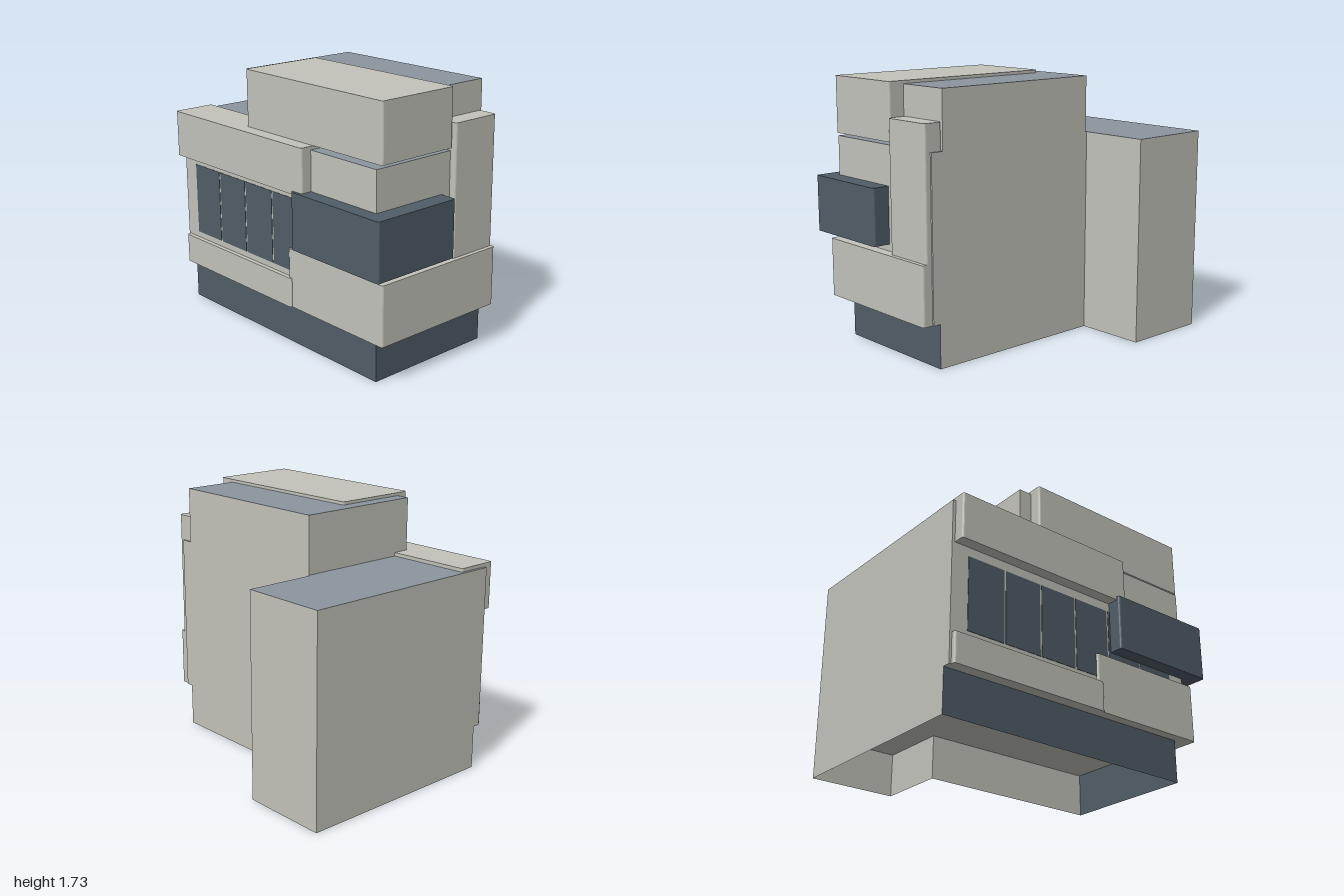
import * as THREE from 'three';

export function createModel() {
  const model = new THREE.Group();
  model.name = 'house';

  const material = (name, color, side = THREE.FrontSide) => {
    const m = new THREE.MeshStandardMaterial({ color, side });
    m.name = name;
    return m;
  };
  const concrete = material('paleConcrete', 0xc3c3bb, THREE.DoubleSide);
  const dark = material('darkSlate', 0x505d67, THREE.DoubleSide);
  const roof = material('roofGrey', 0x8c969f);

  const add = (name, geometry, mat) => {
    const mesh = new THREE.Mesh(geometry, mat);
    mesh.name = name;
    model.add(mesh);
    return mesh;
  };

  // Sharp block given by its limits on each axis; the top may differ in colour
  const block = (name, [x0, x1], [y0, y1], [z0, z1], mat, top = mat) => {
    const g = new THREE.BoxGeometry(x1 - x0, y1 - y0, z1 - z0);
    g.translate((x0 + x1) / 2, (y0 + y1) / 2, (z0 + z1) / 2);
    return add(name, g, [mat, mat, top, mat, mat, mat]);
  };

  // Block with softened vertical corners
  const softBlock = (name, [x0, x1], [y0, y1], [z0, z1], mat, r = 0.015) => {
    const s = new THREE.Shape();
    const a = -z1, b = -z0;
    s.moveTo(x0 + r, a);
    s.lineTo(x1 - r, a);
    s.absarc(x1 - r, a + r, r, -Math.PI / 2, 0);
    s.lineTo(x1, b - r);
    s.absarc(x1 - r, b - r, r, 0, Math.PI / 2);
    s.lineTo(x0 + r, b);
    s.absarc(x0 + r, b - r, r, Math.PI / 2, Math.PI);
    s.lineTo(x0, a + r);
    s.absarc(x0 + r, a + r, r, Math.PI, Math.PI * 1.5);
    const g = new THREE.ExtrudeGeometry(s, { depth: y1 - y0, bevelEnabled: false, curveSegments: 4 });
    g.rotateX(-Math.PI / 2);
    g.translate(0, y0, 0);
    return add(name, g, mat);
  };

  // Single-sheet wall between two plan points, standing on the ground
  const wall = (name, [x0, z0], [x1, z1], height, mat) => {
    const g = new THREE.PlaneGeometry(Math.hypot(x1 - x0, z1 - z0), height);
    g.rotateY(-Math.atan2(z1 - z0, x1 - x0));
    g.translate((x0 + x1) / 2, height / 2, (z0 + z1) / 2);
    return add(name, g, mat);
  };

  // Ground storey: hollow shell, open underneath
  const floor = 0.285;
  wall('baseFront', [-1, 0.62], [0.835, 0.62], floor, dark);
  wall('baseRight', [0.835, 0.62], [0.835, -0.29], floor, dark);
  wall('baseBack', [0.835, -0.29], [-0.42, -0.29], floor, concrete);
  wall('wingBaseInner', [-0.42, -0.29], [-0.42, -0.76], floor, concrete);
  wall('wingBaseBack', [-0.42, -0.76], [-1, -0.76], floor, concrete);
  wall('baseLeft', [-1, -0.76], [-1, 0.62], floor, concrete);

  // Main volumes with grey roofs
  block('mainBody', [-1, 0.885], [floor, 1.34], [-0.29, 0.67], concrete, roof);
  block('rearWing', [-1, -0.42], [floor, 1.34], [-0.76, -0.29], concrete, roof);
  block('upperStorey', [-0.41, 0.8], [1.34, 1.71], [-0.29, 0.57], concrete, roof);

  // Row of front windows
  for (let i = 0; i < 6; i++) {
    const x = -0.88 + i * 0.276;
    block('window' + (i + 1), [x, x + 0.264], [0.52, 1.0], [0.666, 0.673], dark);
  }

  // Projecting panels and boxes
  softBlock('lowerFrontPanel', [-0.985, 0.145], [floor, 0.48], [0.5, 0.7], concrete);
  softBlock('cornerBalcony', [0.11, 0.955], [floor, 0.67], [-0.28, 0.687], concrete);
  softBlock('upperFrontPanel', [-0.98, 0.32], [1.06, 1.363], [0.46, 0.745], concrete);
  softBlock('darkCornerBox', [0.24, 1.0], [0.715, 1.083], [0.14, 0.765], dark);
  softBlock('sideFin', [0.8, 0.927], [0.67, 1.513], [-0.28, 0.07], concrete);
  softBlock('topBox', [-0.32, 0.91], [1.363, 1.73], [0.08, 0.652], concrete);

  return model;
}
